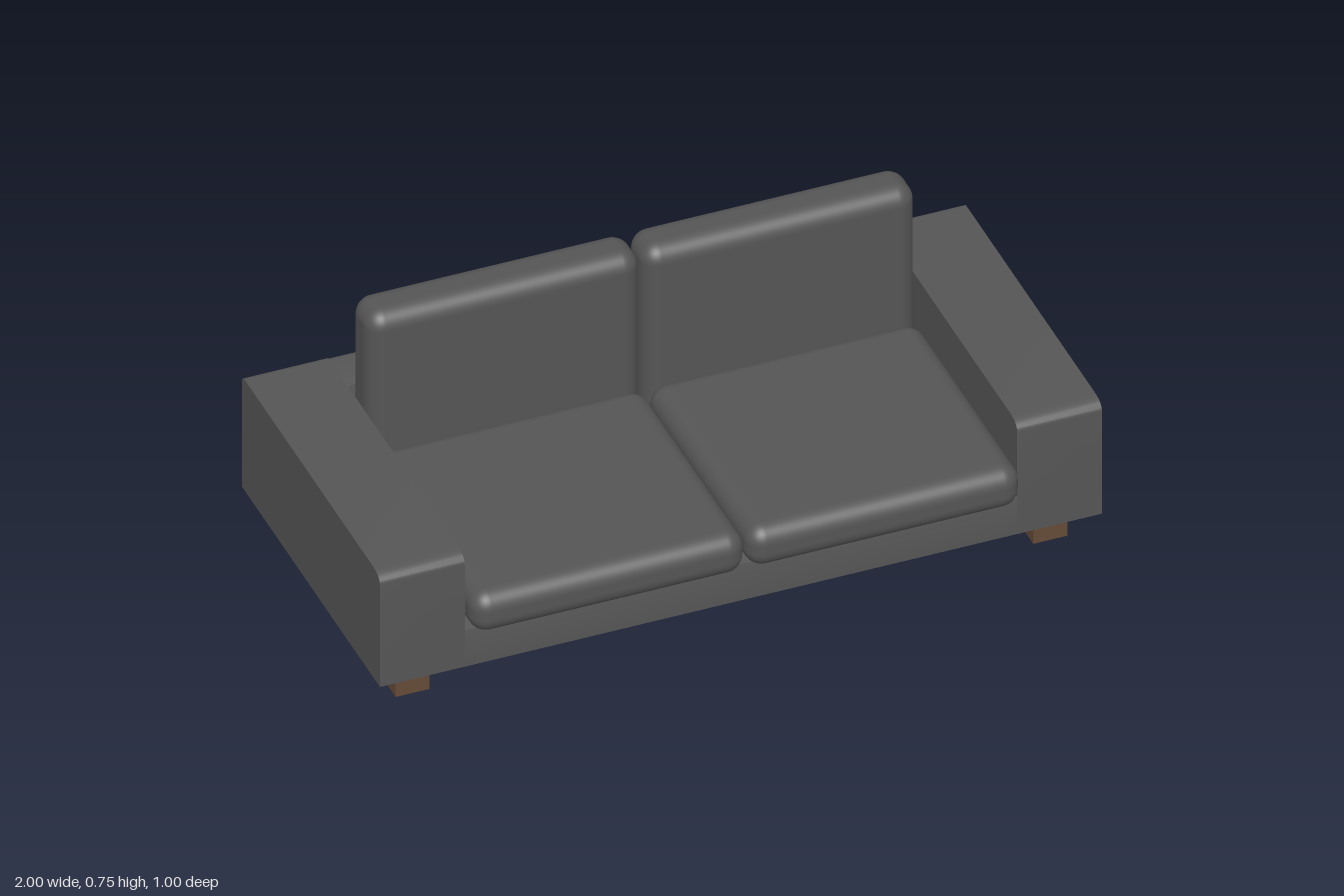
import * as THREE from 'three';
import { toCreasedNormals } from 'three/addons/utils/BufferGeometryUtils.js';
import { RoundedBoxGeometry } from 'three/addons/geometries/RoundedBoxGeometry.js';

const fabric = new THREE.MeshStandardMaterial({ name: 'charcoal fabric', color: 0x555555 });
const wood = new THREE.MeshStandardMaterial({ name: 'brown wood', color: 0x654a38 });

const BOTTOM = 0.095, TOP = 0.447, BACK = -0.5, FRONT = 0.44, INNER = 0.765;

// Side profile in z and y, with rounded top edges, extruded from x0 to x1
function panel(name, x0, x1, z0, z1, top, backRadius, frontRadius) {
  const s = new THREE.Shape();
  s.moveTo(z0, BOTTOM);
  s.lineTo(z1, BOTTOM);
  s.lineTo(z1, top - frontRadius * 0.6);
  s.quadraticCurveTo(z1, top, z1 - frontRadius, top);
  s.lineTo(z0 + backRadius, top);
  s.quadraticCurveTo(z0, top, z0, top - backRadius);
  s.closePath();
  const g = new THREE.ExtrudeGeometry(s, { depth: x1 - x0, bevelEnabled: false, curveSegments: 8 });
  g.rotateY(-Math.PI / 2);
  g.translate(x1, 0, 0);
  const mesh = new THREE.Mesh(toCreasedNormals(g, 0.6), fabric);
  mesh.name = name;
  return mesh;
}

// Soft box given by its lower and upper corners
function cushion(name, [x0, y0, z0], [x1, y1, z1], radius) {
  const mesh = new THREE.Mesh(new RoundedBoxGeometry(x1 - x0, y1 - y0, z1 - z0, 5, radius), fabric);
  mesh.position.set((x0 + x1) / 2, (y0 + y1) / 2, (z0 + z1) / 2);
  mesh.name = name;
  return mesh;
}

export function createModel() {
  const sofa = new THREE.Group();
  sofa.name = 'sofa';

  // Seat base and low backrest between the arms
  sofa.add(panel('seatBase', -INNER, INNER, -0.37, FRONT, 0.212, 0.001, 0.001));
  sofa.add(panel('backrest', -INNER, INNER, BACK, -0.36, TOP, 0.025, 0.001));

  for (const [side, sx] of [['left', 1], ['right', -1]]) {
    // Arm
    const [a, b] = sx > 0 ? [INNER, 1] : [-1, -INNER];
    sofa.add(panel(side + 'Arm', a, b, BACK, FRONT, TOP, 0.02, 0.05));

    // Seat and back cushions
    const [c, d] = sx > 0 ? [0.003, 0.76] : [-0.76, -0.003];
    sofa.add(cushion(side + 'SeatCushion', [c, 0.214, -0.225], [d, 0.338, 0.497], 0.05));
    sofa.add(cushion(side + 'BackCushion', [c, 0.214, -0.357], [d, 0.746, -0.22], 0.05));

    // Legs
    for (const [end, z] of [['Front', 0.328], ['Back', -0.378]]) {
      const leg = new THREE.Mesh(new THREE.BoxGeometry(0.094, BOTTOM, 0.094), wood);
      leg.position.set(sx * 0.883, BOTTOM / 2, z);
      leg.name = side + end + 'Leg';
      sofa.add(leg);
    }
  }
  return sofa;
}
